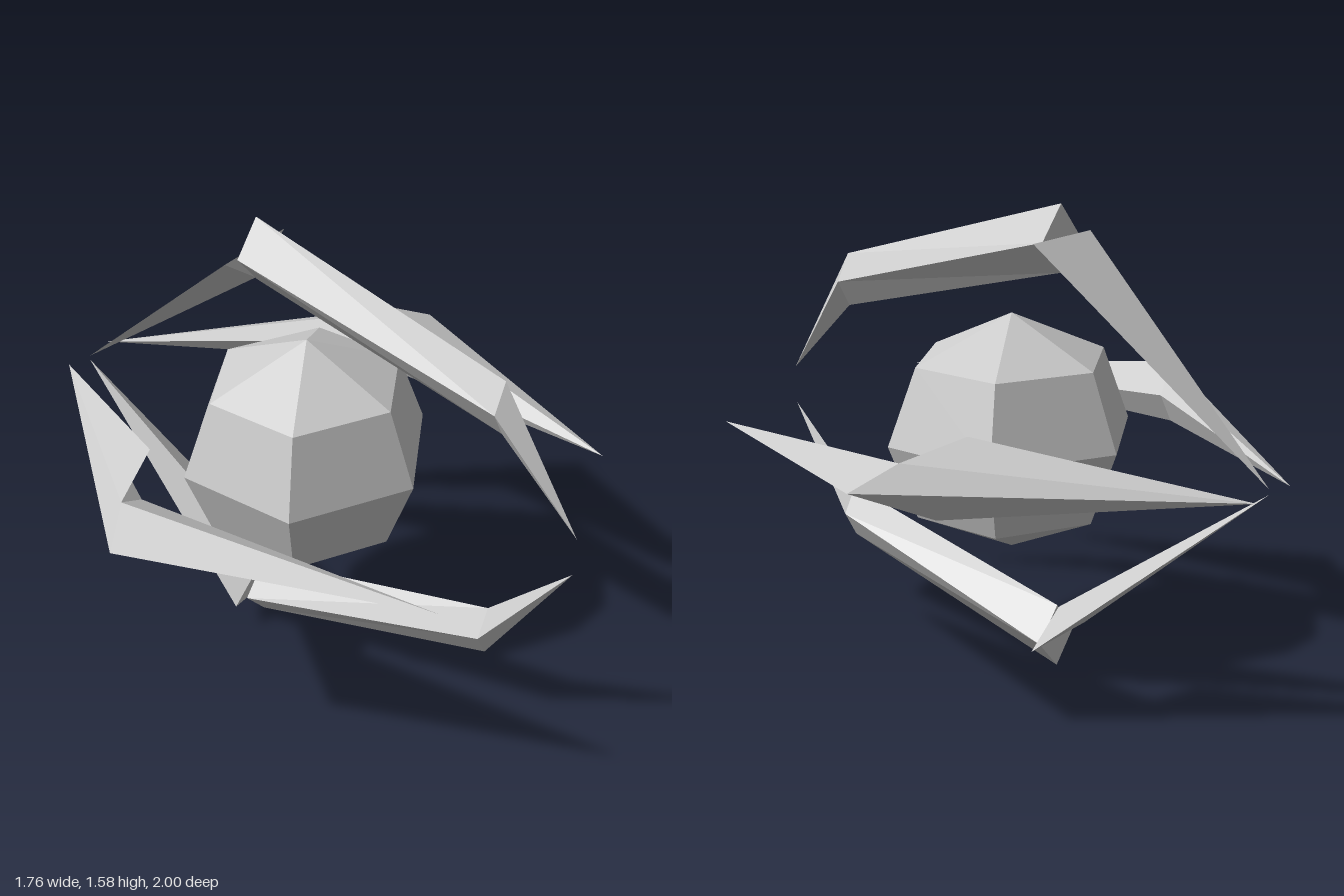
import * as THREE from 'three';

const material = new THREE.MeshStandardMaterial({
  color: 0xcccccc, flatShading: true, side: THREE.DoubleSide,
});

// Mesh from a list of triangles, each made of three [x, y, z] corners
function facets(name, triangles) {
  const geometry = new THREE.BufferGeometry();
  geometry.setAttribute('position', new THREE.Float32BufferAttribute(triangles.flat(2), 3));
  geometry.computeVertexNormals();
  const mesh = new THREE.Mesh(geometry, material);
  mesh.name = name;
  return mesh;
}

// Triangles joining a closed ring to a single point
const cone = (ring, tip) => ring.map((p, i) => [p, ring[(i + 1) % ring.length], tip]);

// Triangles joining two rings of equal length
const band = (a, b) => a.flatMap((p, i) => {
  const j = (i + 1) % a.length;
  return [[p, a[j], b[j]], [p, b[j], b[i]]];
});

const MID_Y = 0.7925;
const MID_X = -0.018;

// Upper or lower claw; side is 1 for upper, -1 for lower
function verticalClaw(name, side) {
  const at = (x, y, z) => [MID_X + x, MID_Y + side * (y - MID_Y), z];
  const diamond = (w, y, h, z) => [at(0, y + h, z), at(w, y, z), at(0, y - h, z), at(-w, y, z)];
  const group = new THREE.Group();
  group.name = name;

  // Bent diamond-section arm with a pointed front
  const knuckle = diamond(0.055, 1.2225, 0.0925, 0.715);
  const shoulder = diamond(0.098, 1.47, 0.11, -0.2);
  group.add(facets('clawArm', [
    ...cone(knuckle, at(0, 0.86, 0.995)),
    ...band(knuckle, shoulder),
    ...cone(shoulder, at(0, 1.47, -0.2)),
  ]));

  // Flat-topped spike running to the rear
  const base = [at(-0.153, 1.475, -0.206), at(0.153, 1.475, -0.206), at(0, 1.365, -0.206)];
  group.add(facets('clawSpike', [...cone(base, at(0, 0.8, -0.975)), base]));
  return group;
}

// Side claw; side is 1 for +x, -1 for -x
function sideClaw(name, side) {
  const at = (x, y, z) => [side * x, y, z];
  const outer = at(0.88, 0.85, -0.1);
  const upper = at(0.738, 0.92, -0.175);
  const inner = at(0.6, 0.83, -0.22);
  const lower = at(0.645, 0.73, -0.235);
  const ring = [outer, upper, inner, lower];
  const rearTip = at(0.1, 0.795, -1);
  const group = new THREE.Group();
  group.name = name;
  group.add(facets('frontSpike', cone(ring, at(0.495, 0.805, 0.82))));
  group.add(facets('rearSpike', cone(ring, rearTip)));
  // Thin fin widening the rear spike inward
  group.add(facets('rearFin', [[upper, at(0.515, 0.96, -0.25), rearTip]]));
  return group;
}

export function createModel() {
  const model = new THREE.Group();
  model.name = 'clawedOrb';

  // Six-sided faceted core
  const profile = [[0, -0.405], [0.325, -0.255], [0.42, 0], [0.325, 0.255], [0, 0.405]]
    .map(([r, y]) => new THREE.Vector2(r, y));
  const core = new THREE.Mesh(new THREE.LatheGeometry(profile, 6), material);
  core.name = 'core';
  core.scale.x = 1.05;
  core.position.set(MID_X, 0.8, -0.006);
  model.add(core);

  model.add(verticalClaw('upperClaw', 1), verticalClaw('lowerClaw', -1));
  model.add(sideClaw('leftClaw', 1), sideClaw('rightClaw', -1));
  return model;
}
